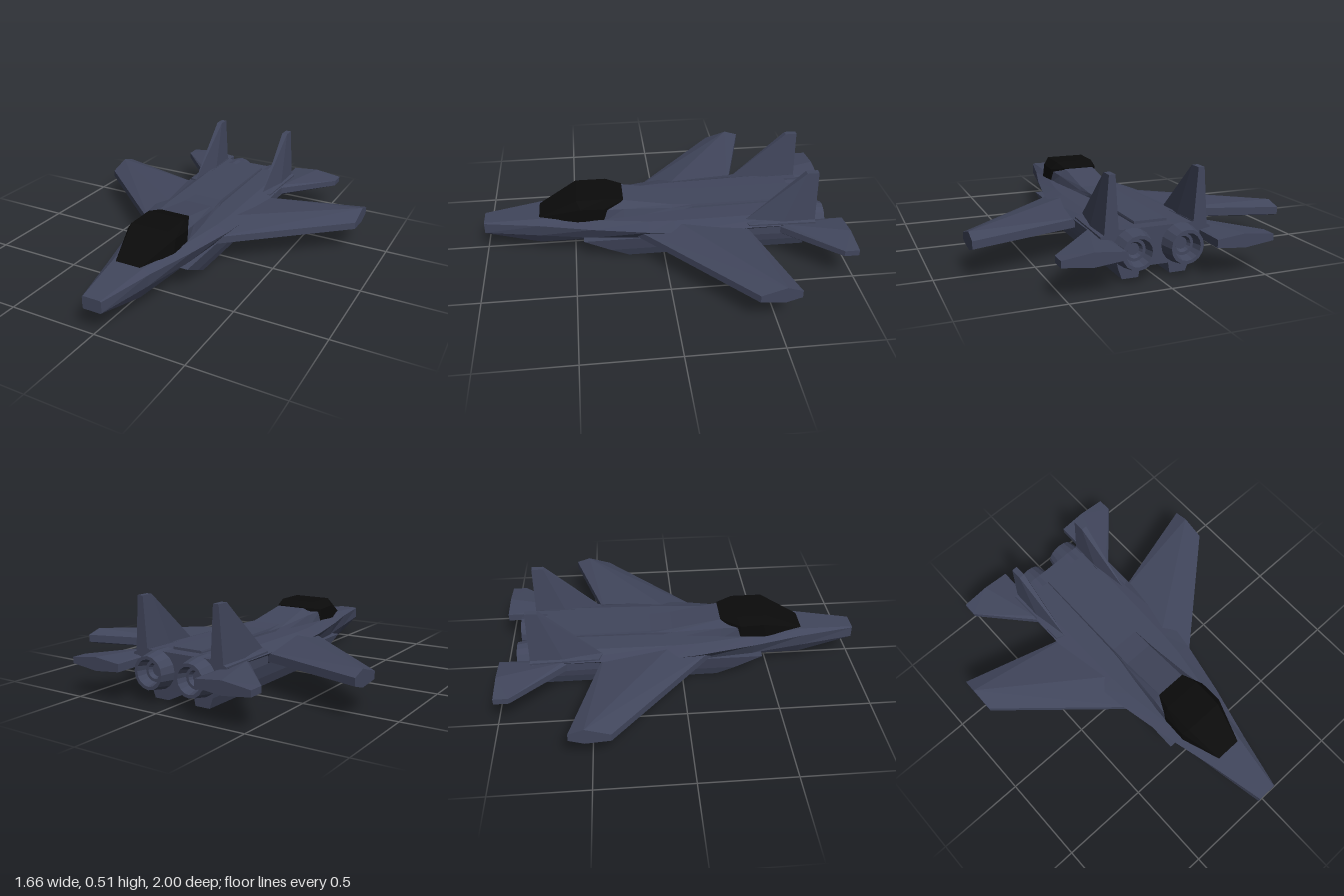
import * as THREE from 'three';
import { ConvexGeometry } from 'three/addons/geometries/ConvexGeometry.js';

const paint = new THREE.MeshStandardMaterial({ color: 0x41465c, flatShading: true });
const glass = new THREE.MeshStandardMaterial({ color: 0x0b0b0b, flatShading: true });

// Skin a series of closed loops (clockwise seen from +z, ordered front to rear), capped at both ends
function loft(loops) {
  const n = loops[0].length, last = (loops.length - 1) * n, index = [];
  for (let i = 0; i < loops.length - 1; i++) {
    for (let j = 0; j < n; j++) {
      const a = i * n + j, b = i * n + (j + 1) % n;
      index.push(a, b, a + n, b, b + n, a + n);
    }
  }
  for (let j = 1; j < n - 1; j++) {
    index.push(0, j + 1, j, last, last + j, last + j + 1);
  }
  const geo = new THREE.BufferGeometry();
  geo.setAttribute('position', new THREE.Float32BufferAttribute(loops.flat(2), 3));
  geo.setIndex(index);
  const flat = geo.toNonIndexed();
  flat.computeVertexNormals();
  return flat;
}

// Full loop from the +x half outline of a symmetric section
const section = (z, ...half) => [
  ...half.map(([x, y]) => [x, y, z]),
  ...half.slice().reverse().map(([x, y]) => [-x, y, z]),
];

// Faceted solid around corner points, with side = -1 mirroring in x
const hull = (points, side = 1) =>
  new ConvexGeometry(points.map(([x, y, z]) => new THREE.Vector3(side * x, y, z)));

// Points stacked as [x, z, lowY, highY]
const slab = (rows) => rows.flatMap(([x, z, lo, hi]) => [[x, lo, z], [x, hi, z]]);

export function createModel() {
  const model = new THREE.Group();
  model.name = 'fighterJet';
  const add = (name, geometry, material = paint) => {
    const mesh = new THREE.Mesh(geometry, material);
    mesh.name = name;
    model.add(mesh);
    return mesh;
  };

  // Fuselage: top edge, upper chine, lower chine, belly edge
  add('fuselage', loft([
    section(1, [0.05, 0.2], [0.055, 0.195], [0.055, 0.135], [0.05, 0.13]),
    section(0.69, [0.09, 0.23], [0.125, 0.205], [0.115, 0.135], [0.07, 0.06]),
    section(0.4, [0.14, 0.232], [0.2, 0.208], [0.17, 0.135], [0.075, 0.06]),
    section(0.09, [0.19, 0.235], [0.265, 0.21], [0.2, 0.135], [0.08, 0.06]),
    section(-0.05, [0.2, 0.237], [0.285, 0.212], [0.22, 0.135], [0.08, 0.06]),
    section(-0.83, [0.21, 0.25], [0.285, 0.215], [0.22, 0.14], [0.08, 0.06]),
  ]));

  // Spine fairing behind the cockpit
  add('spine', loft([
    section(0.33, [0.1, 0.31], [0.135, 0.29], [0.142, 0.22]),
    section(0.22, [0.085, 0.318], [0.12, 0.28], [0.135, 0.22]),
    section(-0.05, [0.085, 0.27], [0.095, 0.252], [0.108, 0.22]),
    section(-0.17, [0.085, 0.262], [0.088, 0.25], [0.092, 0.22]),
    section(-0.76, [0.085, 0.262], [0.087, 0.255], [0.088, 0.22]),
  ]));

  // Canopy
  const canopyHalf = [
    [0.07, 0.225, 0.7], [0.145, 0.228, 0.48], [0.143, 0.305, 0.46], [0.11, 0.345, 0.48],
    [0.11, 0.345, 0.31], [0.088, 0.322, 0.22], [0.142, 0.3, 0.33], [0.143, 0.228, 0.335],
  ];
  add('canopy', hull([...canopyHalf, ...canopyHalf.map(([x, y, z]) => [-x, y, z])]), glass);

  // Engine nozzle profile: outer skin, lip, inner step and recessed end
  const nozzleProfile = [
    [0.1, -0.07], [0.1, 0], [0.085, 0.08], [0.068, 0.08], [0.055, 0.03],
    [0.04, 0.03], [0.03, 0.01], [0, 0.01],
  ].map(([r, h]) => new THREE.Vector2(r, -h));
  nozzleProfile.reverse();

  // Intake outline, clockwise, with the mouth raked back towards the bottom
  const duct = [[0.06, 0.135], [0.205, 0.135], [0.188, 0.055], [0.168, 0], [0.083, 0]];
  const rake = (y) => 0.2 + 1.85 * y;
  const inset = duct.map(([x, y]) => [0.13 + (x - 0.13) * 0.74, 0.07 + (y - 0.07) * 0.72]);
  const nacelleLoops = [
    inset.map(([x, y]) => [x, y, rake(y) - 0.07]),
    inset.map(([x, y]) => [x, y, rake(y)]),
    duct.map(([x, y]) => [x, y, rake(y)]),
    duct.map(([x, y]) => [x, y, -0.81]),
  ];

  for (const [side, label] of [[1, 'left'], [-1, 'right']]) {
    // Swept wing with bevelled leading and trailing edges
    add(label + 'Wing', hull(slab([
      [0.2, 0.16, 0.15, 0.19], [0.2, -0.07, 0.14, 0.23], [0.2, -0.427, 0.165, 0.21],
      [0.83, -0.4, 0.15, 0.19], [0.83, -0.53, 0.14, 0.23], [0.83, -0.61, 0.165, 0.205],
    ]), side));

    // Tailplane
    add(label + 'Tailplane', hull(slab([
      [0.23, -0.58, 0.165, 0.205], [0.28, -0.66, 0.152, 0.218], [0.23, -1, 0.165, 0.205],
      [0.38, -1, 0.15, 0.22], [0.535, -0.92, 0.168, 0.2], [0.535, -1, 0.168, 0.2],
    ]), side));

    // Vertical fin, thickest along its middle
    add(label + 'Fin', hull([
      [0.23, 0.22, -0.43], [0.193, 0.22, -0.65], [0.268, 0.22, -0.65],
      [0.193, 0.22, -0.83], [0.268, 0.22, -0.83],
      [0.213, 0.515, -0.765], [0.245, 0.515, -0.765],
      [0.213, 0.515, -0.83], [0.245, 0.515, -0.83],
    ], side));

    // Shelf carrying the fin and tailplane
    add(label + 'TailShelf', hull(slab([
      [0.19, -0.42, 0.16, 0.24], [0.275, -0.46, 0.16, 0.225],
      [0.19, -0.83, 0.16, 0.255], [0.285, -0.83, 0.16, 0.225],
    ]), side));

    // Intake and engine nacelle
    const loops = side > 0 ? nacelleLoops
      : nacelleLoops.map((loop) => loop.map(([x, y, z]) => [-x, y, z]).reverse());
    add(label + 'Nacelle', loft(loops));

    // Engine nozzle
    const nozzle = add(label + 'Nozzle', new THREE.LatheGeometry(nozzleProfile, 16));
    nozzle.rotation.x = Math.PI / 2;
    nozzle.position.set(side * 0.125, 0.155, -0.83);
  }
  return model;
}
